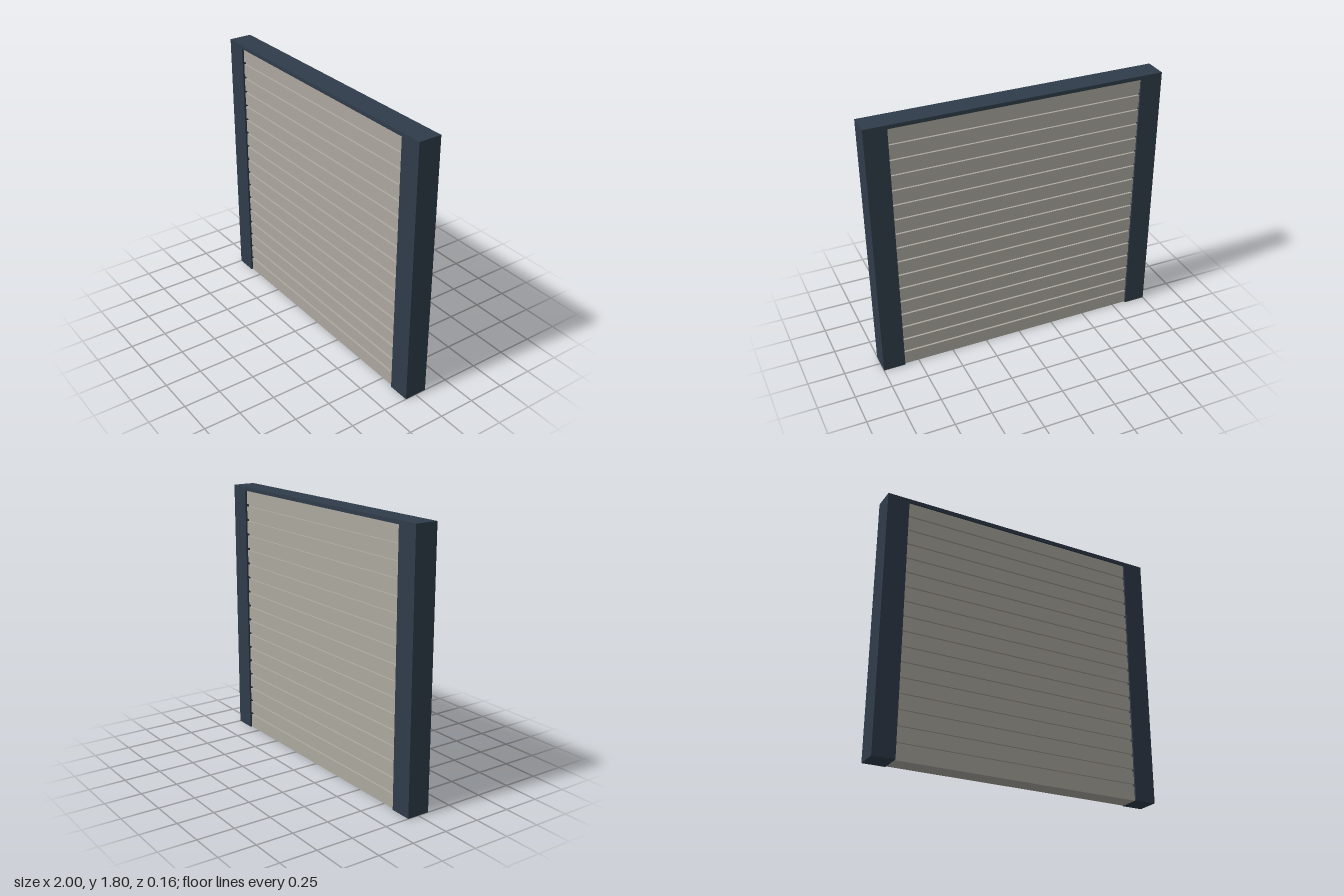
import * as THREE from 'three';

export function createModel() {
  const model = new THREE.Group();
  model.name = 'fencePanel';

  const slate = new THREE.MeshStandardMaterial({ color: 0x2f3c4a });
  slate.name = 'slate blue';
  const greige = new THREE.MeshStandardMaterial({ color: 0xaca89f });
  greige.name = 'warm grey';

  const height = 1.8, capHeight = 0.025, depth = 0.157;
  const postWidth = 0.15, innerHeight = height - capHeight;
  const innerWidth = 2 - 2 * postWidth;

  function box(name, w, h, d, x, y, material) {
    const mesh = new THREE.Mesh(new THREE.BoxGeometry(w, h, d), material);
    mesh.name = name;
    mesh.position.set(x, y, 0);
    model.add(mesh);
  }

  // Frame: two posts and a thin cap across the top
  for (const [name, side] of [['leftPost', 1], ['rightPost', -1]]) {
    box(name, postWidth, innerHeight, depth, side * (1 - postWidth / 2), innerHeight / 2, slate);
  }
  box('topCap', 2, capHeight, depth, 0, height - capHeight / 2, slate);

  // Infill: one cross-section with a square groove at every board joint, on both faces
  const boards = 17, pitch = innerHeight / boards;
  const face = 0.066, grooveFloor = 0.052, halfGroove = 0.009;
  const edge = [[face, 0]];
  for (let i = 1; i < boards; i++) {
    const y = i * pitch;
    edge.push([face, y - halfGroove], [grooveFloor, y - halfGroove],
      [grooveFloor, y + halfGroove], [face, y + halfGroove]);
  }
  edge.push([face, innerHeight]);
  const mirrored = edge.map(([z, y]) => [-z, y]).reverse();
  const section = new THREE.Shape([...edge, ...mirrored].map(([z, y]) => new THREE.Vector2(z, y)));
  const infill = new THREE.ExtrudeGeometry(section, { depth: innerWidth, bevelEnabled: false });
  infill.translate(0, 0, -innerWidth / 2);
  infill.rotateY(Math.PI / 2);
  const slats = new THREE.Mesh(infill, greige);
  slats.name = 'slatInfill';
  model.add(slats);

  return model;
}
